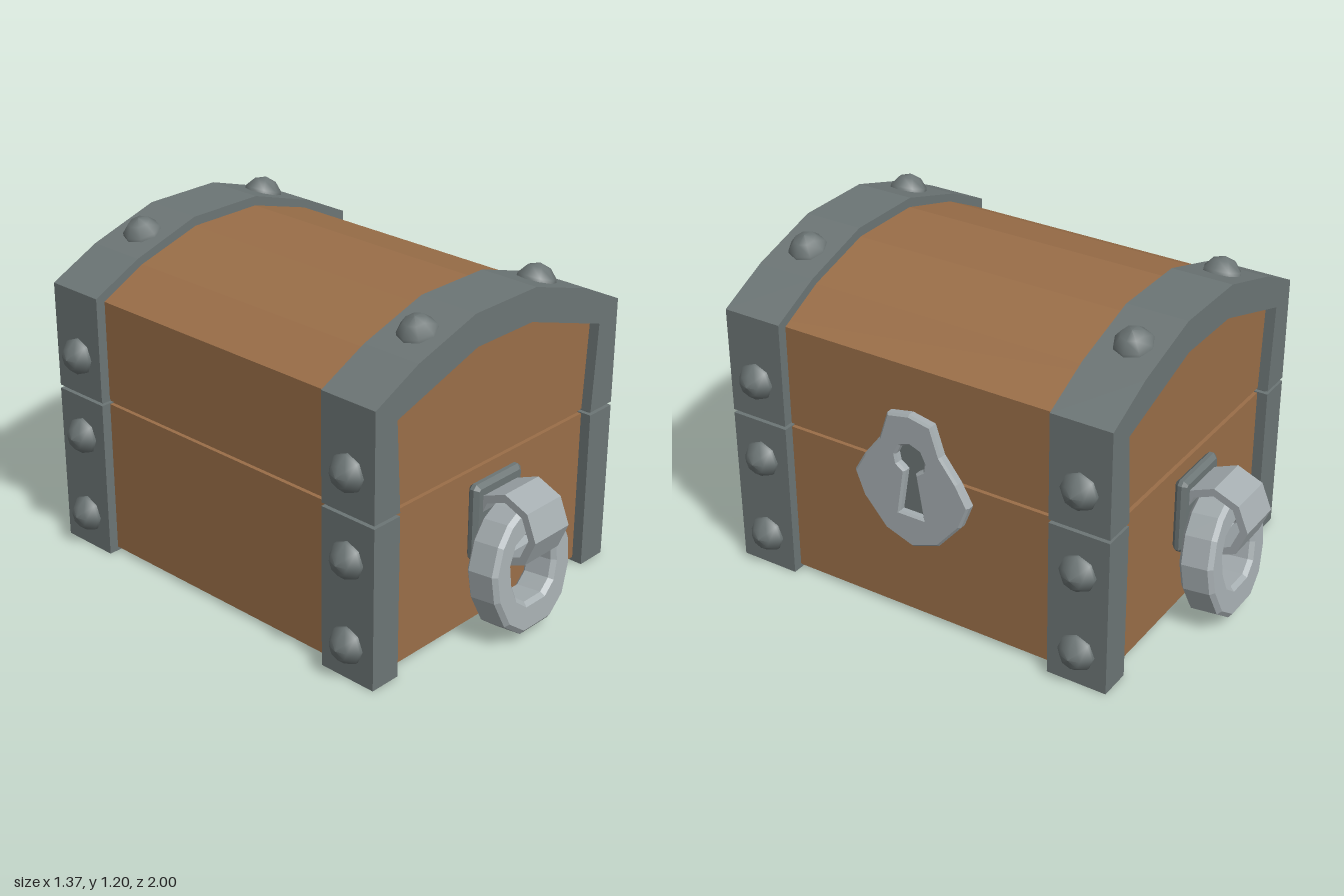
import * as THREE from 'three';

const flat = (name, color) => {
  const m = new THREE.MeshStandardMaterial({ color });
  m.name = name;
  return m;
};

// Mirror a right-hand half profile (bottom to top) into a closed outline
const mirrored = (half) => {
  const left = half.filter(([x]) => x > 0).map(([x, y]) => [-x, y]).reverse();
  return [...half, ...left].map(([x, y]) => new THREE.Vector2(x, y));
};

const extrude = (outline, depth, hole, bevel = 0) => {
  const shape = new THREE.Shape(outline);
  if (hole) shape.holes.push(new THREE.Path(hole));
  return new THREE.ExtrudeGeometry(shape, {
    depth: depth - 2 * bevel, bevelEnabled: bevel > 0, bevelThickness: bevel,
    bevelSize: bevel, bevelOffset: -bevel, bevelSegments: 1, curveSegments: 8,
  }).translate(0, 0, bevel);
};

const circle = (radius, sides, cx = 0, cy = 0) => Array.from({ length: sides }, (_, i) => {
  const a = (i / sides) * Math.PI * 2;
  return new THREE.Vector2(cx + radius * Math.cos(a), cy + radius * Math.sin(a));
});

export function createModel() {
  const root = new THREE.Group();
  root.name = 'chest';
  const wood = flat('wood', 0x9a6e48);
  const iron = flat('dark iron', 0x6c7575);
  const steel = flat('light steel', 0xa5adb0);

  const add = (parent, name, geometry, material, x = 0, y = 0, z = 0) => {
    const mesh = new THREE.Mesh(geometry, material);
    mesh.name = name;
    mesh.position.set(x, y, z);
    parent.add(mesh);
    return mesh;
  };

  // Wooden body, inset seam and faceted lid
  const woodEnd = 0.73;
  add(root, 'body', new THREE.BoxGeometry(1.18, 0.585, 2 * woodEnd), wood, 0, 0.3075, 0);
  add(root, 'seam', new THREE.BoxGeometry(1.15, 0.06, 2 * woodEnd - 0.03), wood, 0, 0.61, 0);
  const lidProfile = mirrored([[0.59, 0.62], [0.59, 0.995], [0.41, 1.085], [0.15, 1.16]]);
  add(root, 'lid', extrude(lidProfile, 2 * woodEnd), wood, 0, 0, -woodEnd);

  // Iron bands at both ends: posts below, arch above, each with rivets
  const arch = [
    [0.505, 0.617], [0.627, 0.617], [0.627, 1.015], [0.43, 1.11], [0.155, 1.195],
    [-0.155, 1.195], [-0.43, 1.11], [-0.627, 1.015], [-0.627, 0.617], [-0.505, 0.617],
    [-0.525, 0.95], [-0.14, 1.075], [0.14, 1.075], [0.525, 0.95],
  ].map(([x, y]) => new THREE.Vector2(x, y));
  const archGeometry = extrude(arch, 0.23).translate(0, 0, -0.115);
  const postGeometry = new THREE.BoxGeometry(0.122, 0.604, 0.23);
  const seamGeometry = new THREE.BoxGeometry(0.09, 0.04, 0.2);
  const rivetGeometry = new THREE.LatheGeometry(
    [[0.07, -0.01], [0.068, 0.012], [0.04, 0.045], [0, 0.058]].map(([x, y]) => new THREE.Vector2(x, y)), 8);

  for (const end of [1, -1]) {
    const band = new THREE.Group();
    band.name = end > 0 ? 'frontBand' : 'backBand';
    band.position.z = end * 0.655;
    root.add(band);
    add(band, 'lidArch', archGeometry, iron);
    for (const side of [1, -1]) {
      add(band, 'post', postGeometry, iron, side * 0.566, 0.302, 0);
      add(band, 'postSeam', seamGeometry, iron, side * 0.566, 0.61, 0);
      for (const y of [0.13, 0.45, 0.765]) {
        add(band, 'sideRivet', rivetGeometry, iron, side * 0.627, y, 0).rotation.z = -side * Math.PI / 2;
      }
      add(band, 'topRivet', rivetGeometry, iron, side * 0.305, 1.148, 0).rotation.z = -side * 0.3;
    }
  }

  // Ring handles, each hanging from an octagonal bracket on a plate
  const plateOutline = mirrored([[0.11, -0.145], [0.125, -0.13], [0.125, 0.13], [0.11, 0.145]]);
  const plateGeometry = extrude(plateOutline, 0.045, null, 0.015);
  const bracketGeometry = extrude(circle(0.135, 8), 0.18, circle(0.105, 8))
    .translate(0, 0, -0.09).rotateY(Math.PI / 2);
  const ringOuter = mirrored([[0.075, -0.225], [0.155, -0.165], [0.2, -0.06], [0.205, 0.04],
    [0.165, 0.135], [0.11, 0.195], [0.05, 0.225]]);
  const ringInner = mirrored([[0.045, -0.115], [0.09, -0.08], [0.11, -0.02], [0.11, 0.05],
    [0.08, 0.105], [0.03, 0.125]]);
  const ringGeometry = extrude(ringOuter, 0.13, ringInner, 0.015).translate(0, 0, -0.065);
  for (const end of [1, -1]) {
    const handle = new THREE.Group();
    handle.name = end > 0 ? 'frontHandle' : 'backHandle';
    handle.rotation.y = end > 0 ? 0 : Math.PI;
    root.add(handle);
    add(handle, 'handlePlate', plateGeometry, iron, 0, 0.415, woodEnd);
    add(handle, 'handleBracket', bracketGeometry, steel, 0, 0.42, 0.865);
    add(handle, 'handleRing', ringGeometry, steel, 0, 0.26, 0.868).rotation.x = -0.11;
  }

  // Lock plate with a keyhole on the left side
  const lock = new THREE.Group();
  lock.name = 'lock';
  lock.position.set(0.585, 0, 0.01);
  lock.rotation.y = Math.PI / 2;
  root.add(lock);
  const lockOutline = mirrored([[0, 0.305], [0.11, 0.345], [0.2, 0.45], [0.235, 0.54],
    [0.19, 0.62], [0.125, 0.705], [0.09, 0.812], [0, 0.83]]);
  const keyhole = mirrored([[0.048, 0.435], [0.02, 0.605], [0.052, 0.628], [0.058, 0.66],
    [0.04, 0.697], [0, 0.712]]);
  add(lock, 'lockPlate', extrude(lockOutline, 0.04, keyhole, 0.008), steel);
  add(lock, 'keyhole', extrude(keyhole, 0.009), iron, 0, 0, 0.003);

  return root;
}
